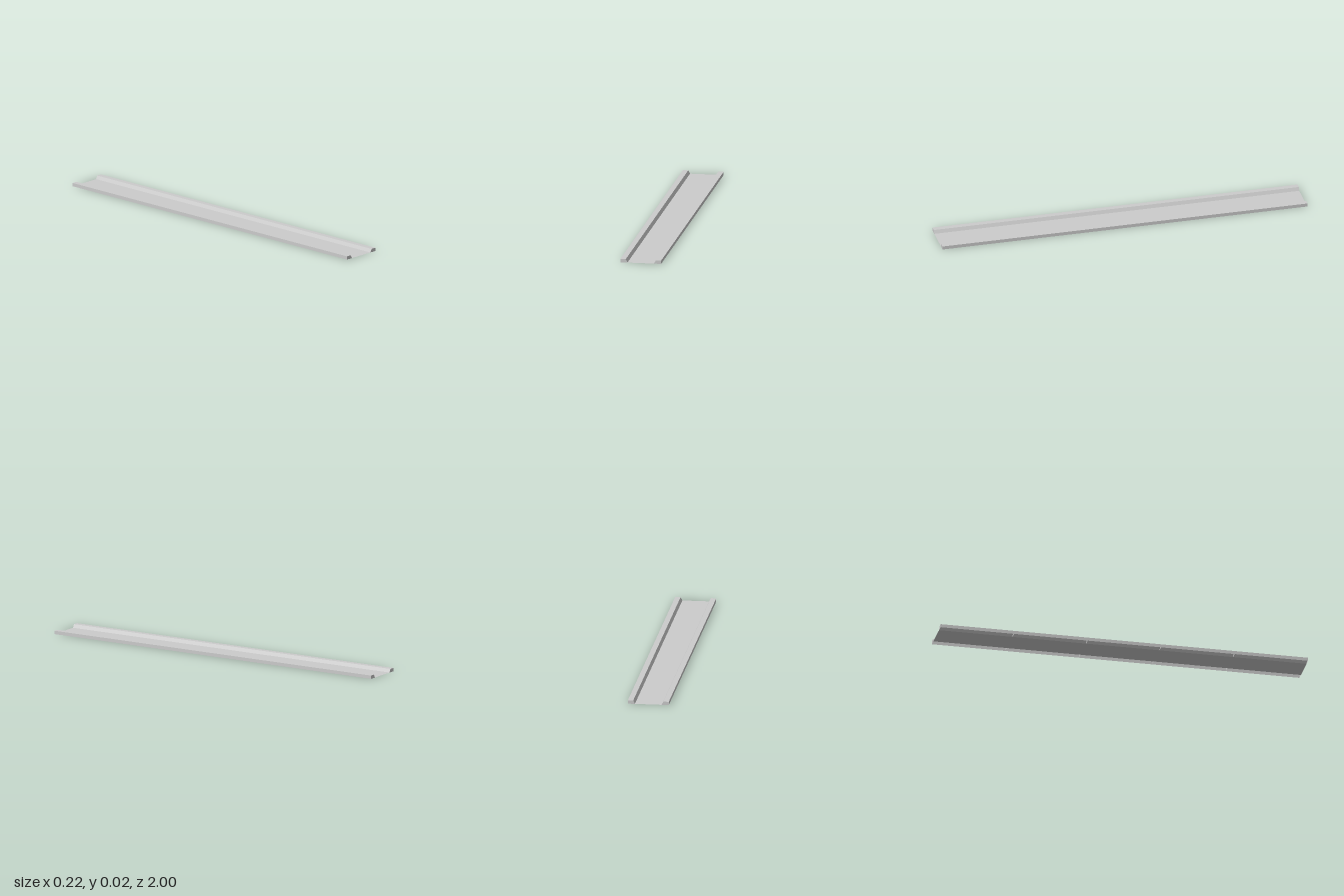
import * as THREE from 'three';

const HALF_LENGTH = 1;
// Curb cross-section (left side, +x), inner foot to outer foot
const CURB = [[0.0715, 0], [0.081, 0.018], [0.11, 0.018], [0.11, 0]];

const material = new THREE.MeshStandardMaterial({
  color: 0xcccccc, flatShading: true, side: THREE.DoubleSide,
});

// Thin sheet: an open profile in x, y swept along z, facing up and outwards
function sheet(name, profile) {
  const positions = [];
  for (let i = 0; i < profile.length - 1; i++) {
    const [x0, y0] = profile[i];
    const [x1, y1] = profile[i + 1];
    const a = [x0, y0, HALF_LENGTH], b = [x1, y1, HALF_LENGTH];
    const c = [x1, y1, -HALF_LENGTH], d = [x0, y0, -HALF_LENGTH];
    positions.push(...a, ...b, ...c, ...a, ...c, ...d);
  }
  const geometry = new THREE.BufferGeometry();
  geometry.setAttribute('position', new THREE.Float32BufferAttribute(positions, 3));
  geometry.computeVertexNormals();
  const mesh = new THREE.Mesh(geometry, material);
  mesh.name = name;
  return mesh;
}

// Hollow curb, open underneath, with end caps and four inner ribs
function curb(name, profile) {
  const group = new THREE.Group();
  group.name = name;
  group.add(sheet('curbShell', profile));
  const section = new THREE.ShapeGeometry(
    new THREE.Shape(profile.map(([x, y]) => new THREE.Vector2(x, y))));
  for (let i = 0; i <= 5; i++) {
    const plate = new THREE.Mesh(section, material);
    plate.name = i === 0 || i === 5 ? 'endCap' : 'rib';
    plate.position.z = HALF_LENGTH * (1 - 0.4 * i);
    if (i === 5) plate.geometry = section.clone().scale(1, 1, -1);
    group.add(plate);
  }
  return group;
}

export function createModel() {
  const model = new THREE.Group();
  model.name = 'channelTrack';
  const foot = CURB[0][0];
  model.add(sheet('floor', [[-foot, 0], [foot, 0]]));
  model.add(curb('leftCurb', CURB));
  model.add(curb('rightCurb', CURB.map(([x, y]) => [-x, y]).reverse()));
  return model;
}
